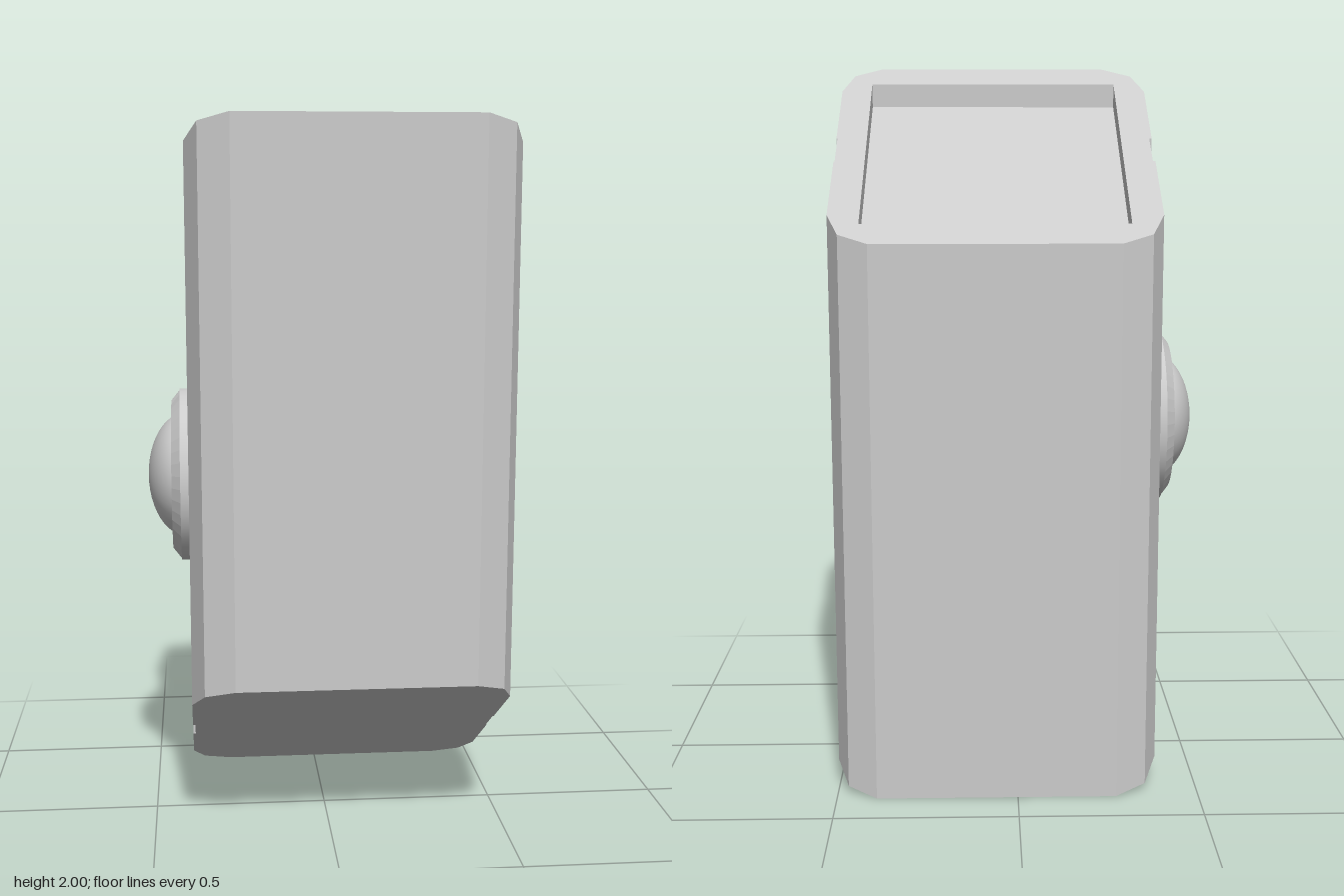
import * as THREE from 'three';

const SLOPE = 0.625, HALF_DEPTH = 0.38, HEIGHT = 1.525, RECESS = 0.066;
const grey = () => new THREE.MeshStandardMaterial({ color: 0xcccccc });

function addMesh(parent, name, geometry, flat = false) {
  const material = grey();
  material.flatShading = flat;
  const mesh = new THREE.Mesh(geometry, material);
  mesh.name = name;
  parent.add(mesh);
  return mesh;
}

// Plan of the casing: bevelled corners and a shallow groove down each side
function planShape() {
  const half = [[0.39, -0.38], [0.47, -0.345], [0.503, -0.27], [0.503, -0.05], [0.5, -0.05]];
  const halfLeft = [[-0.383, -0.05], [-0.39, -0.05], [-0.39, -0.27], [-0.355, -0.345], [-0.272, -0.38]];
  const flip = (list) => list.map(([x, z]) => [x, -z]).reverse();
  const points = [...half, ...flip(half), ...flip(halfLeft), ...halfLeft];
  return new THREE.Shape(points.map(([x, z]) => new THREE.Vector2(x, z)));
}

// Upright extrusion whose ends are slanted upwards towards the front
function slantedPrism(shape, from, to) {
  const g = new THREE.ExtrudeGeometry(shape, { depth: to - from, bevelEnabled: false });
  g.rotateX(-Math.PI / 2).translate(0, from, 0);
  const p = g.attributes.position;
  for (let i = 0; i < p.count; i++) {
    p.setY(i, p.getY(i) + SLOPE * (p.getZ(i) + HALF_DEPTH));
  }
  g.computeVertexNormals();
  return g;
}

export function createModel() {
  const model = new THREE.Group();
  model.name = 'slantedCasing';

  // Casing with a rectangular recess in its top
  const casing = new THREE.Group();
  casing.name = 'casing';
  model.add(casing);
  addMesh(casing, 'casingBody', slantedPrism(planShape(), 0, HEIGHT - RECESS), true);
  const rim = planShape();
  rim.holes.push(new THREE.Path([
    new THREE.Vector2(-0.302, -0.304), new THREE.Vector2(-0.302, 0.304),
    new THREE.Vector2(0.417, 0.304), new THREE.Vector2(0.417, -0.304),
  ]));
  addMesh(casing, 'topRim', slantedPrism(rim, HEIGHT - RECESS, HEIGHT), true);

  // Round button on the side: its local y axis points outwards along -x
  const button = new THREE.Group();
  button.name = 'sideButton';
  button.position.set(-0.38, 1.008, 0);
  button.rotation.z = Math.PI / 2;
  model.add(button);

  const base = new THREE.CylinderGeometry(0.246, 0.246, 0.033, 40).translate(0, 0.0165, 0);
  addMesh(button, 'buttonBase', base);

  // Bevelled collar with a small notch at the top
  const gap = 0.21, start = Math.PI / 2, sweep = Math.PI * 2 - gap;
  const profile = [[0.19, 0.033], [0.242, 0.033], [0.212, 0.057], [0.194, 0.057], [0.19, 0.033]]
    .map(([r, h]) => new THREE.Vector2(r, h));
  const collar = addMesh(button, 'collar', new THREE.LatheGeometry(profile, 40, start, sweep), true);
  collar.material.side = THREE.DoubleSide;
  for (const angle of [start, start + sweep]) {
    const end = new THREE.ShapeGeometry(new THREE.Shape(profile.slice(0, 4)));
    end.rotateY(angle - Math.PI / 2);
    addMesh(button, 'collarEnd', end, true).material.side = THREE.DoubleSide;
  }

  // Domed cap
  const dome = new THREE.SphereGeometry(1, 32, 12, 0, Math.PI * 2, 0, Math.PI / 2);
  dome.scale(0.176, 0.105, 0.176).translate(0, 0.02, 0);
  addMesh(button, 'dome', dome);

  return model;
}
